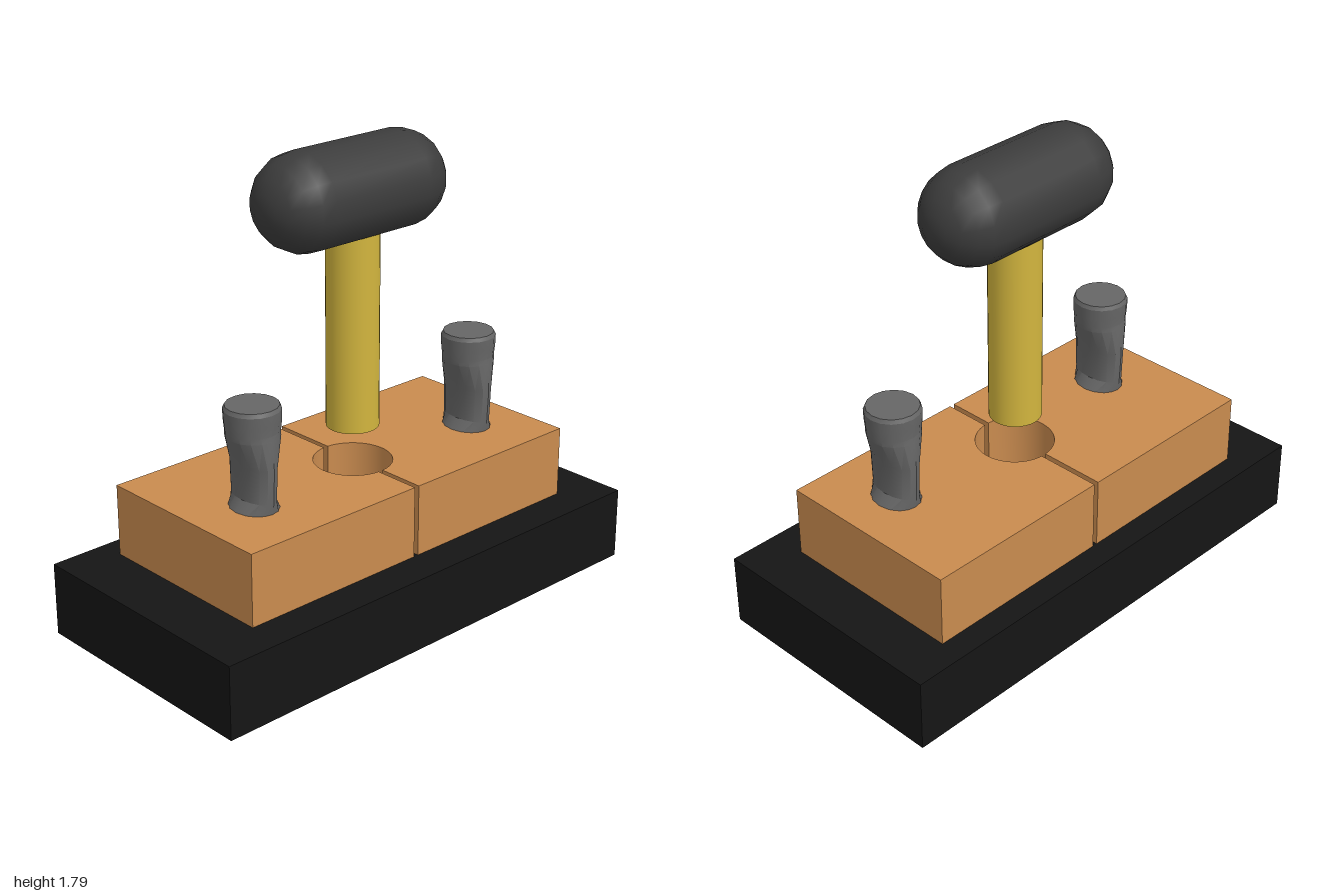
import * as THREE from 'three';
import { toCreasedNormals } from 'three/addons/utils/BufferGeometryUtils.js';

const MID_X = 0.0125; // centre line of the two blocks and the mallet head

export function createModel() {
  const model = new THREE.Group();

  function add(name, geometry, color, x = 0, y = 0, z = 0) {
    const mesh = new THREE.Mesh(geometry, new THREE.MeshStandardMaterial({ color }));
    mesh.name = name;
    mesh.position.set(x, y, z);
    model.add(mesh);
    return mesh;
  }

  // Base slab
  add('base', new THREE.BoxGeometry(2, 0.285, 1), 0x151515, 0, 0.1425, 0);

  // Two blocks with a narrow gap, sharing a round socket (s = +1 left, -1 right)
  for (const s of [1, -1]) {
    const gap = 0.01, r = 0.15, cy = -0.015;
    const a = Math.acos(gap / r);
    const shape = new THREE.Shape();
    shape.moveTo(s * gap, -0.355);
    shape.lineTo(s * 0.7875, -0.355);
    shape.lineTo(s * 0.7875, 0.4);
    shape.lineTo(s * gap, 0.4);
    shape.lineTo(s * gap, cy + r * Math.sin(a));
    if (s > 0) shape.absarc(0, cy, r, a, -a, true);
    else shape.absarc(0, cy, r, Math.PI - a, Math.PI + a, false);
    shape.closePath();
    const geo = new THREE.ExtrudeGeometry(shape, { depth: 0.28, bevelEnabled: false, curveSegments: 16 });
    geo.rotateX(-Math.PI / 2);
    add(s > 0 ? 'leftBlock' : 'rightBlock', toCreasedNormals(geo, 0.5), 0xc98b4f, MID_X, 0.285, 0);
  }

  // Grips: round caps on pinched shafts
  const grip = gripGeometry();
  add('leftGrip', grip, 0x666666, 0.57, 0, 0.07);
  add('rightGrip', grip, 0x666666, -0.52, 0, 0.07);

  // Mallet handle
  add('malletHandle', new THREE.CylinderGeometry(0.1, 0.1, 0.85, 32), 0xd2b53e, 0.025, 1.125, 0);

  // Mallet head
  const head = new THREE.CapsuleGeometry(0.184, 0.457, 5, 16);
  head.rotateY(Math.PI / 16);
  head.rotateZ(Math.PI / 2);
  add('malletHead', head, 0x3c3c3c, MID_X, 1.607, 0);

  return model;
}

// Loft of elliptical rings: height, half width in x, half depth in z
function gripGeometry() {
  const rings = [
    [0.545, 0.1, 0.1], [0.605, 0.057, 0.108], [0.735, 0.057, 0.114],
    [0.84, 0.098, 0.103], [0.86, 0.1, 0.1], [0.9, 0.104, 0.104],
    [0.94, 0.105, 0.105], [0.955, 0.098, 0.098],
  ];
  const n = 16, pos = [], index = [];
  for (const [y, rx, rz] of rings) {
    for (let i = 0; i < n; i++) {
      const t = (i / n) * Math.PI * 2;
      pos.push(rx * Math.cos(t), y, rz * Math.sin(t));
    }
  }
  for (let k = 0; k < rings.length - 1; k++) {
    for (let i = 0; i < n; i++) {
      const a = k * n + i, b = k * n + (i + 1) % n;
      index.push(a, a + n, b, b, a + n, b + n);
    }
  }
  // Flat end caps
  const top = (rings.length - 1) * n;
  for (let i = 1; i < n - 1; i++) {
    index.push(top, top + i + 1, top + i);
    index.push(0, i, i + 1);
  }
  const geo = new THREE.BufferGeometry();
  geo.setAttribute('position', new THREE.Float32BufferAttribute(pos, 3));
  geo.setIndex(index);
  return toCreasedNormals(geo, 0.45);
}
